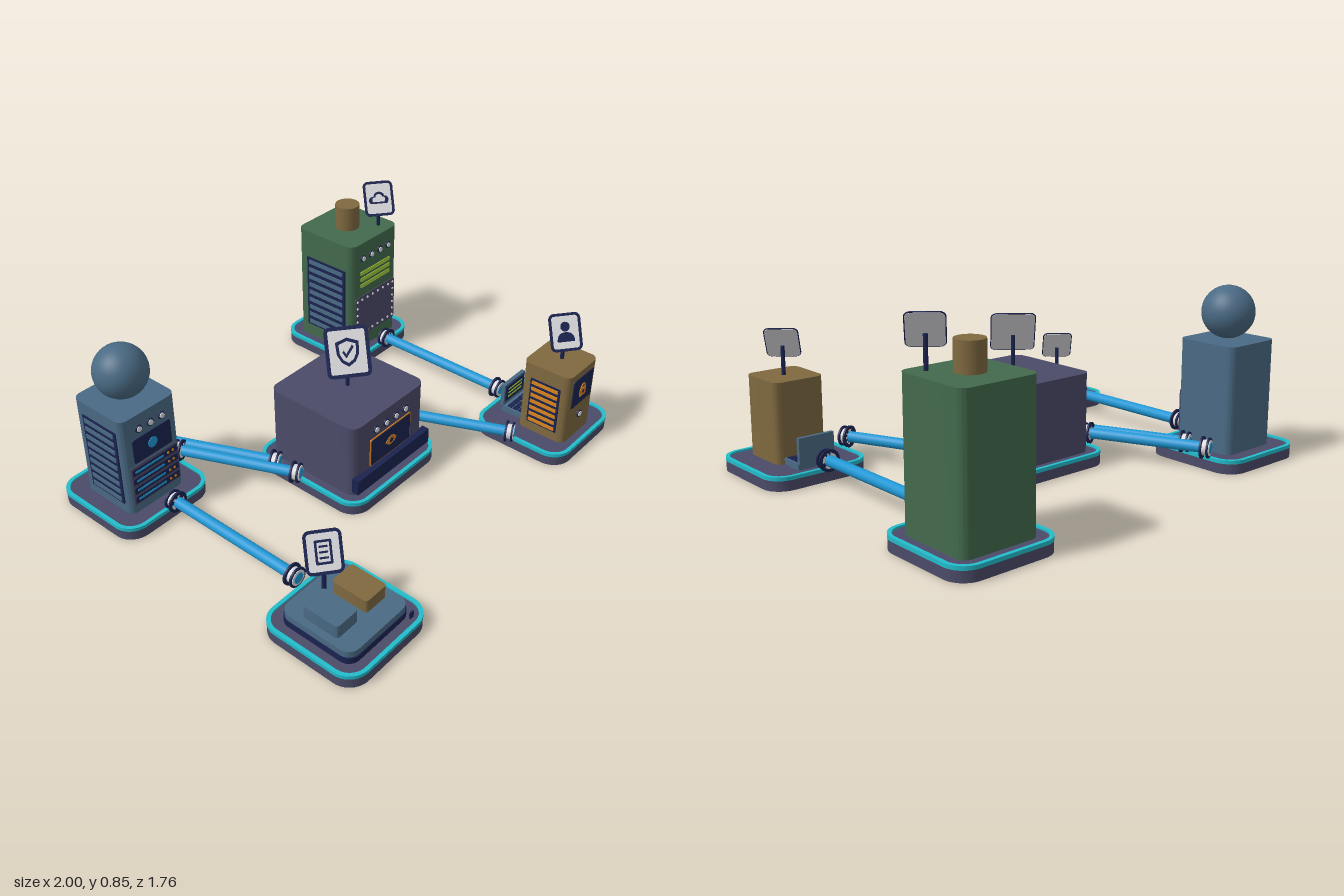
import * as THREE from 'three';
import { toCreasedNormals } from 'three/addons/utils/BufferGeometryUtils.js';

const mat = (name, color, side = THREE.FrontSide) => {
  const m = new THREE.MeshStandardMaterial({ color, side });
  m.name = name;
  return m;
};

export function createModel() {
  const M = {
    purple: mat('dusk purple', 0x4b4b69), teal: mat('teal', 0x22bccb), slate: mat('slate blue', 0x4a6a84),
    green: mat('green', 0x436a4d), tan: mat('tan', 0x7f6940), navy: mat('navy', 0x1a2350, THREE.DoubleSide),
    blue: mat('pipe blue', 0x1f97d4), orange: mat('orange', 0xd9831c), white: mat('pale grey', 0xdcdce0, THREE.DoubleSide),
    lime: mat('lime', 0xa6cc3c),
  };
  const root = new THREE.Group();
  root.name = 'networkDiorama';

  const group = (name, x, y, z, parent = root) => {
    const g = new THREE.Group();
    g.name = name;
    g.position.set(x, y, z);
    parent.add(g);
    return g;
  };
  const add = (parent, name, geo, m, x = 0, y = 0, z = 0) => {
    const mesh = new THREE.Mesh(geo, m);
    mesh.name = name;
    mesh.position.set(x, y, z);
    parent.add(mesh);
    return mesh;
  };
  const roundRect = (w, h, r, C = THREE.Shape) => {
    const s = new C(), a = w / 2 - r, b = h / 2 - r;
    s.absarc(a, b, r, 0, Math.PI / 2);
    s.absarc(-a, b, r, Math.PI / 2, Math.PI);
    s.absarc(-a, -b, r, Math.PI, Math.PI * 1.5);
    s.absarc(a, -b, r, Math.PI * 1.5, Math.PI * 2);
    s.closePath();
    return s;
  };
  const ringShape = (w, h, r, t) => {
    const s = roundRect(w, h, r);
    s.holes.push(roundRect(w - 2 * t, h - 2 * t, Math.max(r - t, 0.002), THREE.Path));
    return s;
  };
  const extrude = (shape, depth) =>
    toCreasedNormals(new THREE.ExtrudeGeometry(shape, { depth, bevelEnabled: false, curveSegments: 8 }), 0.6);
  const upright = (shape, h) => extrude(shape, h).rotateX(-Math.PI / 2);
  const box = (p, name, m, w, h, d, x, y, z) => add(p, name, new THREE.BoxGeometry(w, h, d), m, x, y, z);
  const plate = (p, name, m, w, h, r, x, y, z, t = 0.004) => add(p, name, extrude(roundRect(w, h, r), t), m, x, y, z);
  const disc = (p, name, m, r, x, y, z, t = 0.004) =>
    add(p, name, new THREE.CylinderGeometry(r, r, t, 20).rotateX(Math.PI / 2), m, x, y, z);

  // Rounded base tile with a glowing rim
  const station = (name, x, z, size) => {
    const g = group(name, x, 0, z);
    add(g, 'basePad', upright(roundRect(size - 0.002, size - 0.002, 0.09), 0.052), M.purple);
    add(g, 'baseRim', upright(ringShape(size, size, 0.09, 0.017), 0.016), M.teal, 0, 0.044, 0);
    return g;
  };
  const tower = (g, m, size, top, r, z = 0) =>
    add(g, 'tower', upright(roundRect(size, size, r), top - 0.05), m, 0, 0.05, z);
  const knobs = (g, n, gap, y, z) => {
    for (let i = 0; i < n; i++) {
      const x = (i - (n - 1) / 2) * gap;
      disc(g, 'knobRing', M.navy, 0.017, x, y, z + 0.003, 0.006);
      disc(g, 'knob', M.white, 0.012, x, y, z + 0.007, 0.006);
    }
  };
  // Slatted vent on the -x wall
  const vent = (g, m, x, y0, y1, z, depth, n) => {
    box(g, 'ventPanel', M.navy, 0.006, y1 - y0, depth, x - 0.002, (y0 + y1) / 2, z);
    const step = (y1 - y0) / n;
    for (let i = 0; i < n; i++) box(g, 'ventSlat', m, 0.006, step * 0.5, depth * 0.88, x - 0.006, y0 + step * (i + 0.5), z);
  };

  // Tilted sign on a thin post
  const sign = (p, x, base, y, z, w, h, icon) => {
    const g = group('sign', x, 0, z, p);
    add(g, 'signPost', new THREE.CylinderGeometry(0.009, 0.009, y - base, 10), M.navy, 0, (y + base) / 2 - 0.012, 0);
    const b = group('signBoard', 0, y, 0, g);
    b.rotation.set(-0.585, -0.67, 0, 'YXZ');
    add(b, 'signFace', extrude(roundRect(w - 0.004, h - 0.004, 0.02), 0.003), M.white);
    add(b, 'signFrame', extrude(ringShape(w + 0.004, h + 0.004, 0.025, w * 0.085), 0.004), M.navy, 0, 0, 0.002);
    const s = w / 0.185;
    const art = group('signIcon', 0, 0, 0.003, b);
    art.scale.set(s, s, 1);
    icon(art);
  };
  const poly = (pts) => new THREE.Shape(pts.map(([a, b]) => new THREE.Vector2(a, b)));
  const shieldIcon = (a) => {
    const pts = [[0, 0.06], [-0.05, 0.042], [-0.047, -0.01], [-0.03, -0.042], [0, -0.062], [0.03, -0.042], [0.047, -0.01], [0.05, 0.042]];
    const s = poly(pts);
    s.holes.push(poly(pts.map(([u, v]) => [u * 0.74, v * 0.76])));
    add(a, 'shield', extrude(s, 0.002), M.navy);
    const t = poly([[-0.024, 0], [-0.008, -0.026], [0.028, 0.02], [0.02, 0.028], [-0.008, -0.01], [-0.016, 0.007]]);
    add(a, 'tick', extrude(t, 0.002), M.navy);
  };
  const personIcon = (a) => {
    disc(a, 'head', M.navy, 0.028, 0, 0.032, 0.001, 0.002);
    const s = new THREE.Shape();
    s.moveTo(-0.052, -0.055).lineTo(0.052, -0.055);
    s.quadraticCurveTo(0.052, 0, 0, 0).quadraticCurveTo(-0.052, 0, -0.052, -0.055);
    add(a, 'shoulders', extrude(s, 0.002), M.navy);
  };
  const cloudIcon = (a) => {
    const cloud = (k, C) => {
      const s = new C();
      s.moveTo(-0.05 * k, -0.03 * k).lineTo(0.05 * k, -0.03 * k);
      s.bezierCurveTo(0.07 * k, 0, 0.05 * k, 0.02 * k, 0.035 * k, 0.015 * k);
      s.bezierCurveTo(0.03 * k, 0.05 * k, -0.03 * k, 0.05 * k, -0.03 * k, 0.012 * k);
      s.bezierCurveTo(-0.06 * k, 0.02 * k, -0.07 * k, -0.02 * k, -0.05 * k, -0.03 * k);
      return s;
    };
    const s = cloud(1.05, THREE.Shape);
    s.holes.push(cloud(0.7, THREE.Path));
    add(a, 'cloud', extrude(s, 0.002), M.navy);
  };
  const pageIcon = (a) => {
    add(a, 'page', extrude(ringShape(0.085, 0.12, 0.008, 0.012), 0.002), M.navy);
    for (const y of [0.028, 0, -0.028]) plate(a, 'textLine', M.navy, 0.045, 0.01, 0.003, 0, y, 0, 0.002);
  };

  // Central station
  const hub = station('hubStation', 0, 0, 0.585);
  tower(hub, M.purple, 0.47, 0.4, 0.045);
  box(hub, 'frontLedge', M.navy, 0.48, 0.07, 0.035, 0, 0.12, 0.245);
  knobs(hub, 4, 0.064, 0.335, 0.235);
  plate(hub, 'screenBorder', M.orange, 0.268, 0.138, 0.006, 0, 0.228, 0.235);
  plate(hub, 'screen', M.navy, 0.258, 0.128, 0.005, 0, 0.228, 0.237);
  const eye = new THREE.Shape();
  eye.moveTo(-0.036, 0).quadraticCurveTo(0, 0.045, 0.036, 0).quadraticCurveTo(0, -0.045, -0.036, 0);
  add(hub, 'screenEye', extrude(eye, 0.004), M.orange, 0, 0.228, 0.239);
  disc(hub, 'screenPupil', M.navy, 0.011, 0, 0.228, 0.243);
  sign(hub, 0, 0.4, 0.567, 0, 0.185, 0.212, shieldIcon);

  // Back station with the sphere
  const orb = station('orbStation', -0.765, -0.53, 0.466);
  tower(orb, M.slate, 0.29, 0.52, 0.035);
  add(orb, 'orb', new THREE.SphereGeometry(0.115, 32, 20), M.slate, 0, 0.637, 0);
  knobs(orb, 3, 0.06, 0.455, 0.145);
  plate(orb, 'screen', M.navy, 0.2, 0.115, 0.008, 0, 0.355, 0.145);
  disc(orb, 'screenDot', M.blue, 0.024, 0, 0.355, 0.15);
  plate(orb, 'rackPanel', M.purple, 0.25, 0.19, 0.006, 0, 0.19, 0.145);
  for (let i = 0; i < 4; i++) {
    const y = 0.12 + i * 0.046;
    plate(orb, 'rackSlot', M.navy, 0.236, 0.032, 0.003, 0, y, 0.147);
    plate(orb, 'rackLight', M.blue, 0.15, 0.01, 0.003, -0.03, y, 0.149);
    for (const x of [0.07, 0.095]) disc(orb, 'rackDot', M.orange, 0.006, x, y, 0.152);
  }
  vent(orb, M.slate, -0.145, 0.1, 0.46, 0.01, 0.2, 9);

  // Front station with low blocks
  const store = station('blockStation', -0.765, 0.64, 0.466);
  add(store, 'lowerTray', upright(roundRect(0.352, 0.352, 0.05), 0.03), M.navy, 0, 0.05, 0);
  add(store, 'upperTray', upright(roundRect(0.345, 0.345, 0.05), 0.03), M.slate, 0, 0.078, 0);
  [[-0.083, M.slate], [0.08, M.tan]].forEach(([x, m]) =>
    add(store, 'block', upright(roundRect(0.118, 0.17, 0.015), 0.062), m, x, 0.104, 0));
  box(store, 'statusTab', M.navy, 0.02, 0.03, 0.006, 0.145, 0.08, 0.198);
  sign(store, 0, 0.1, 0.315, -0.103, 0.14, 0.162, pageIcon);

  // Tall green station
  const tall = station('tallStation', 0.765, -0.65, 0.466);
  tower(tall, M.green, 0.345, 0.636, 0.04);
  add(tall, 'chimney', new THREE.CylinderGeometry(0.058, 0.058, 0.122, 28), M.tan, -0.005, 0.692, 0);
  knobs(tall, 4, 0.062, 0.555, 0.1725);
  for (let i = 0; i < 3; i++) plate(tall, 'lightStrip', M.lime, 0.22, 0.02, 0.006, 0, 0.475 - i * 0.034, 0.172);
  plate(tall, 'lowerPanel', M.purple, 0.3, 0.23, 0.012, 0, 0.235, 0.172);
  for (let i = 0; i < 6; i++) {
    const v = i / 5 - 0.5;
    for (const s of [-1, 1]) {
      disc(tall, 'rivet', M.white, 0.006, s * 0.135, 0.235 + v * 0.19, 0.178);
      disc(tall, 'rivet', M.white, 0.006, v * 0.2, 0.235 + s * 0.095, 0.178);
    }
  }
  vent(tall, M.slate, -0.1725, 0.12, 0.5, 0.01, 0.24, 9);
  sign(tall, 0.1, 0.636, 0.775, 0.107, 0.14, 0.162, cloudIcon);

  // Tan station with lock screen and a small console behind it
  const gate = station('gateStation', 0.765, 0.525, 0.466);
  const kiosk = group('kiosk', -0.005, 0, 0.06, gate);
  tower(kiosk, M.tan, 0.237, 0.4, 0.035);
  plate(kiosk, 'screen', M.navy, 0.16, 0.14, 0.006, 0, 0.295, 0.118);
  plate(kiosk, 'lockBody', M.orange, 0.05, 0.042, 0.005, 0, 0.282, 0.121);
  add(kiosk, 'lockShackle', new THREE.TorusGeometry(0.017, 0.004, 6, 16, Math.PI), M.orange, 0, 0.305, 0.122);
  disc(kiosk, 'keyhole', M.navy, 0.008, 0, 0.284, 0.125);
  knobs(kiosk, 1, 0, 0.16, 0.1185);
  vent(kiosk, M.orange, -0.1185, 0.1, 0.33, 0.005, 0.15, 7);
  sign(kiosk, 0.005, 0.4, 0.535, 0, 0.14, 0.162, personIcon);
  const desk = group('console', 0, 0, 0, gate);
  box(desk, 'consoleBase', M.slate, 0.165, 0.03, 0.11, 0, 0.065, -0.115);
  box(desk, 'consoleScreen', M.slate, 0.165, 0.11, 0.018, 0, 0.135, -0.172);
  box(desk, 'consoleDisplay', M.navy, 0.145, 0.08, 0.006, 0, 0.14, -0.162);
  for (const y of [0.12, 0.14, 0.16]) box(desk, 'consoleLine', M.lime, 0.11, 0.007, 0.004, 0, y, -0.159);
  for (let i = 0; i < 12; i++)
    box(desk, 'consoleKey', M.navy, 0.032, 0.006, 0.022, (i % 4 - 1.5) * 0.038, 0.081, -0.135 + Math.floor(i / 4) * 0.028);

  // Pipes with finned collars at both ends
  const pipe = (x0, z0, x1, z1) => {
    const len = Math.hypot(x1 - x0, z1 - z0);
    const g = group('pipe', (x0 + x1) / 2, 0.1, (z0 + z1) / 2);
    g.rotation.y = Math.atan2(x1 - x0, z1 - z0);
    const rod = (name, m, r, l, z) => add(g, name, new THREE.CylinderGeometry(r, r, l, 20).rotateX(Math.PI / 2), m, 0, 0, z);
    rod('pipeTube', M.blue, 0.024, len, 0);
    for (const s of [-1, 1]) {
      rod('pipeCollar', M.white, 0.034, 0.034, s * (len / 2 - 0.022));
      for (const d of [0.007, 0.035]) rod('pipeFin', M.navy, d < 0.02 ? 0.044 : 0.048, 0.008, s * (len / 2 - d));
      rod('pipeEndRing', M.white, 0.034, 0.004, s * (len / 2 - 0.002));
      rod('pipeEnd', M.blue, 0.024, 0.004, s * len / 2);
    }
  };
  pipe(-0.765, -0.3, -0.765, 0.408);
  pipe(0.76, -0.418, 0.76, 0.295);
  pipe(-0.532, -0.65, -0.3, -0.125);
  pipe(-0.535, -0.535, -0.3, -0.005);
  pipe(0.293, 0.0, 0.525, 0.525);

  return root;
}
